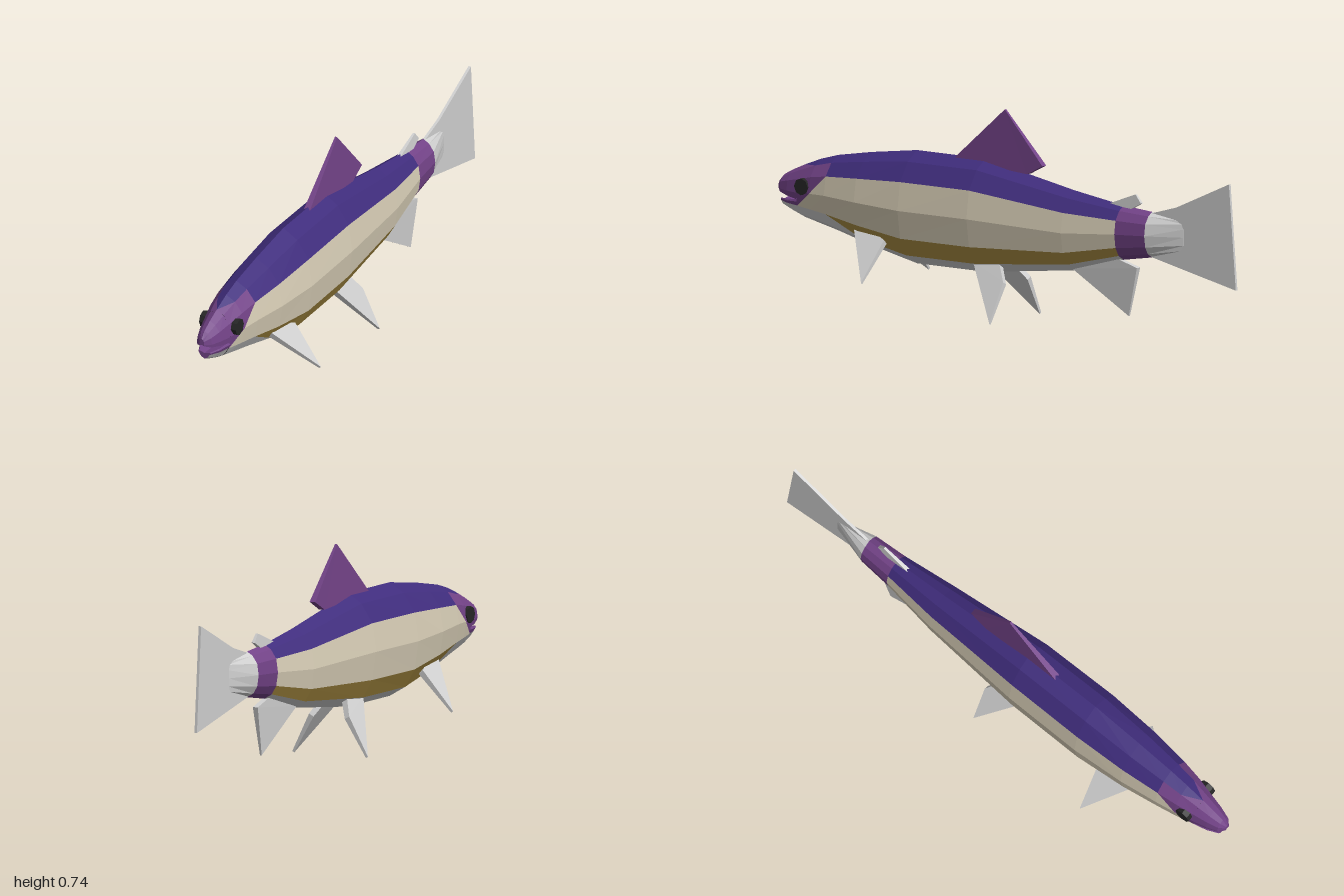
import * as THREE from 'three';

const mat = (name, color) => {
  const m = new THREE.MeshStandardMaterial({ color });
  m.name = name;
  return m;
};

export function createModel() {
  const group = new THREE.Group();
  const blue = mat('back blue', 0x402d7d);
  const purple = mat('purple', 0x734388);
  const cream = mat('flank cream', 0xd6ccb5);
  const gold = mat('belly gold', 0xad9043);
  const pale = mat('pale grey', 0xd0d0d0);
  const dark = mat('dark', 0x262626);

  // Symmetric loft: stations run front to back as [z, top, bottom, halfWidth];
  // profile is the half outline, top to bottom, as [x fraction, y fraction].
  // paint(i, k) returns [first triangle, second triangle, split other way].
  function loft(name, stations, profile, paint, capMaterial) {
    const buckets = new Map();
    const rings = stations.map(([z, top, bottom, w]) =>
      profile.map(([x, y]) => [x * w, bottom + (top - bottom) * y, z]));
    const tri = (m, a, b, c) => {
      if (!buckets.has(m)) buckets.set(m, []);
      const flip = ([x, y, z]) => [-x, y, z];
      buckets.get(m).push(...a, ...b, ...c, ...flip(c), ...flip(b), ...flip(a));
    };
    for (let i = 0; i < rings.length - 1; i++) {
      for (let k = 0; k < profile.length - 1; k++) {
        const a = rings[i][k], b = rings[i][k + 1];
        const c = rings[i + 1][k], d = rings[i + 1][k + 1];
        const [m1, m2 = m1, other] = paint(i, k);
        if (other) { tri(m1, a, b, d); tri(m2, a, d, c); }
        else { tri(m1, a, b, c); tri(m2, b, d, c); }
      }
    }
    // End caps
    const last = rings[rings.length - 1];
    for (let k = 1; k < profile.length - 1; k++) {
      tri(capMaterial, rings[0][0], rings[0][k + 1], rings[0][k]);
      tri(paint(rings.length - 2, k)[0], last[0], last[k], last[k + 1]);
    }
    const part = new THREE.Group();
    part.name = name;
    for (const [m, positions] of buckets) {
      const g = new THREE.BufferGeometry();
      g.setAttribute('position', new THREE.Float32BufferAttribute(positions, 3));
      g.computeVertexNormals();
      const mesh = new THREE.Mesh(g, m);
      mesh.name = `${name} ${m.name}`;
      part.add(mesh);
    }
    group.add(part);
  }

  // Body, with the dark cap showing inside the mouth
  loft('body', [
    [0.89, 0.46, 0.273, 0.056], [0.82, 0.487, 0.257, 0.073],
    [0.745, 0.508, 0.24, 0.086], [0.6, 0.533, 0.202, 0.104],
    [0.4, 0.56, 0.158, 0.115], [0.1, 0.56, 0.158, 0.112],
    [-0.29, 0.487, 0.203, 0.081], [-0.505, 0.455, 0.262, 0.055],
    [-0.63, 0.445, 0.283, 0.047], [-0.77, 0.425, 0.31, 0.006],
  ], [[0, 1], [0.48, 0.915], [0.87, 0.75], [1, 0.5], [0.87, 0.25], [0.54, 0.09], [0, 0]],
  (i, k) => {
    if (i === 8) return [pale];
    if (i === 7) return [purple];
    if (k === 0) return i === 0 ? [purple, blue, true] : [blue];
    if (k === 1) return i < 2 ? [purple] : [blue];
    if (k === 2) return i === 0 ? [purple] : i === 1 ? [purple, cream] : [cream];
    if (k === 3) return i === 0 ? [purple, cream] : [cream];
    if (k === 4) return i < 2 ? [pale] : i === 2 ? [pale, gold, true] : [gold];
    return [pale];
  }, dark);

  // Upper snout
  loft('snout', [
    [1.0, 0.395, 0.367, 0.01], [0.98, 0.417, 0.358, 0.03],
    [0.94, 0.438, 0.35, 0.044], [0.89, 0.46, 0.343, 0.056],
  ], [[0, 1], [0.48, 0.86], [0.87, 0.6], [1, 0.2], [0.95, 0], [0, 0.15]],
  (i, k) => [k === 4 ? dark : purple], purple);

  // Lower jaw
  loft('lower jaw', [
    [0.98, 0.336, 0.308, 0.024], [0.94, 0.338, 0.291, 0.042], [0.89, 0.343, 0.273, 0.054],
  ], [[0, 0.8], [0.9, 1], [0.98, 0.88], [0.87, 0.67], [0.52, 0.24], [0, 0]],
  (i, k) => [k < 3 ? purple : pale], purple);

  // Eyes
  for (const side of [1, -1]) {
    const eye = new THREE.Mesh(
      new THREE.CylinderGeometry(0.03, 0.03, 0.022, 8).toNonIndexed(), dark);
    eye.geometry.computeVertexNormals();
    eye.rotation.z = Math.PI / 2;
    eye.position.set(side * 0.062, 0.393, 0.855);
    eye.name = side > 0 ? 'leftEye' : 'rightEye';
    group.add(eye);
  }

  // Fin: outline of [z, y] points, thinning from y = root to y = tip
  function fin(name, material, outline, root, tip, thickRoot, thickTip) {
    const shape = new THREE.Shape(outline.map(([z, y]) => new THREE.Vector2(-z, y)));
    const g = new THREE.ExtrudeGeometry(shape, { depth: 1, bevelEnabled: false });
    g.translate(0, 0, -0.5).rotateY(Math.PI / 2);
    const p = g.attributes.position;
    for (let i = 0; i < p.count; i++) {
      const t = THREE.MathUtils.clamp((p.getY(i) - root) / (tip - root), 0, 1);
      p.setX(i, p.getX(i) * THREE.MathUtils.lerp(thickRoot, thickTip, t));
    }
    g.computeVertexNormals();
    const mesh = new THREE.Mesh(g, material);
    mesh.name = name;
    group.add(mesh);
    return mesh;
  }

  fin('dorsalFin', purple,
    [[0.23, 0.55], [0.013, 0.744], [-0.157, 0.56], [-0.09, 0.525]], 0.55, 0.744, 0.024, 0.008);
  fin('adiposeFin', pale,
    [[-0.44, 0.455], [-0.56, 0.5], [-0.585, 0.47], [-0.53, 0.44]], 0.45, 0.5, 0.016, 0.008);
  fin('analFin', pale,
    [[-0.286, 0.21], [-0.53, 0.065], [-0.57, 0.24], [-0.47, 0.27]], 0.24, 0.065, 0.02, 0.007);
  fin('tailFin', pale,
    [[-0.63, 0.44], [-0.74, 0.472], [-0.97, 0.577], [-1, 0.203], [-0.63, 0.285]], 0, 1, 0.01, 0.01);

  // Paired fins, splayed outward
  for (const side of [1, -1]) {
    const label = side > 0 ? 'left' : 'right';
    const pectoral = fin(label + 'PectoralFin', pale,
      [[0.63, 0.01], [0.495, -0.208], [0.478, -0.03], [0.57, 0.015]], 0, -0.208, 0.024, 0.009);
    pectoral.position.set(side * 0.062, 0.26, 0);
    pectoral.rotation.z = side * 0.71;
    const pelvic = fin(label + 'PelvicFin', pale,
      [[0.115, 0.01], [-0.03, -0.206], [-0.037, -0.05], [0.005, 0.02]], 0, -0.206, 0.024, 0.009);
    pelvic.position.set(side * 0.047, 0.184, 0);
    pelvic.rotation.z = side * 0.51;
  }
  return group;
}
